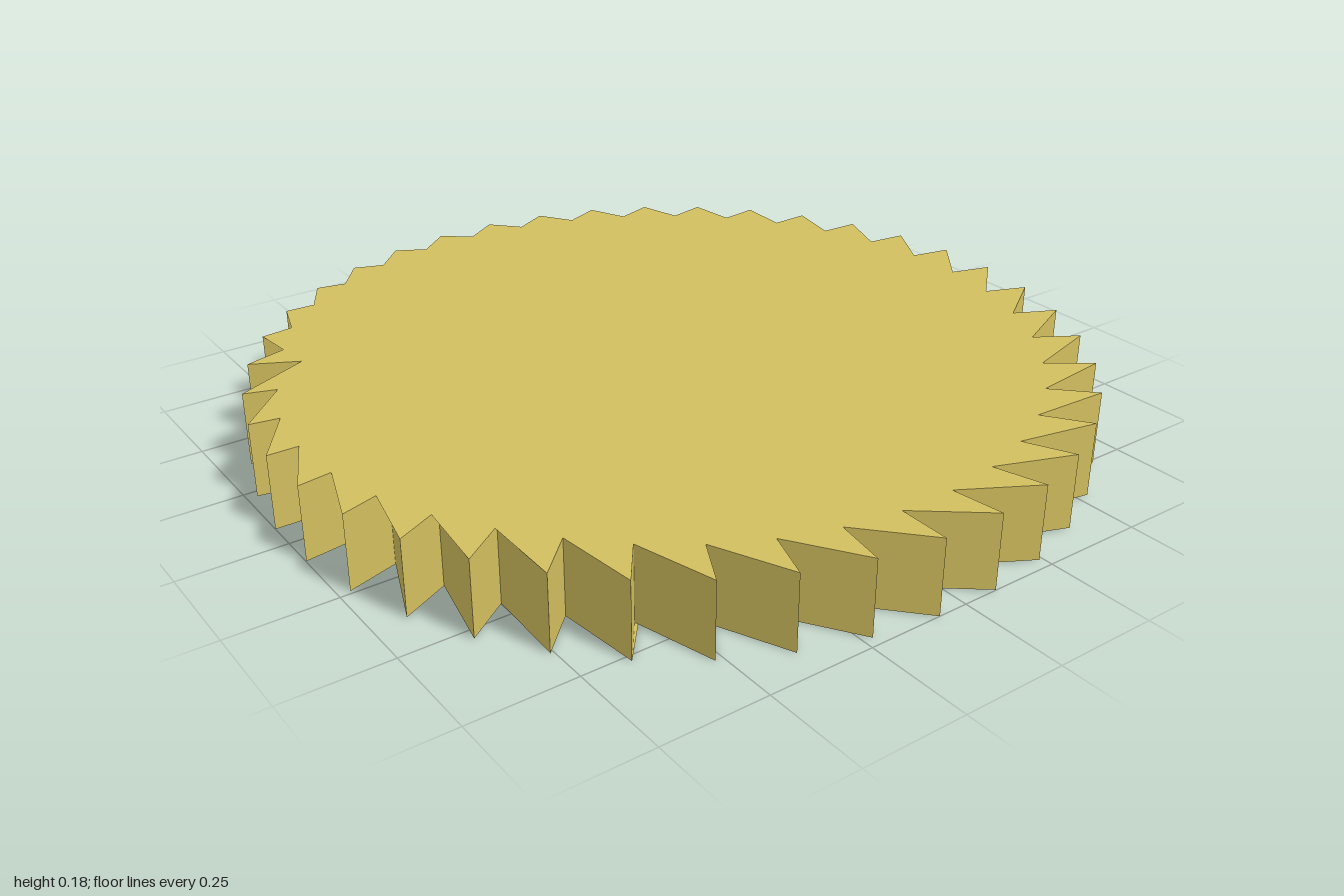
import * as THREE from 'three';

const TEETH = 40;
const HEIGHT = 0.18;
const TIP_RADIUS = 1.0026;
const ROOT_RADIUS = 0.877;
const STEP = 360 / TEETH;

function polar(radius, degrees) {
  const a = THREE.MathUtils.degToRad(degrees);
  return [radius * Math.cos(a), radius * Math.sin(a)];
}

// Saw-tooth outline: each root sits just under the tip that follows it.
// The list begins at the root of the given tooth.
function outline(firstTooth) {
  const points = [];
  for (let i = 0; i < TEETH; i++) {
    const angle = 4.1 + (firstTooth + i) * STEP;
    points.push(polar(ROOT_RADIUS, angle + 0.5), polar(TIP_RADIUS, angle));
  }
  return points;
}

function geometryFrom(positions) {
  const geometry = new THREE.BufferGeometry();
  geometry.setAttribute('position', new THREE.Float32BufferAttribute(positions, 3));
  geometry.computeVertexNormals();
  return geometry;
}

// Flat cap, fanned from the first outline point
function capGeometry(points, y, up) {
  const positions = [];
  const add = ([x, z]) => positions.push(x, y, z);
  for (let i = 1; i < points.length - 1; i++) {
    add(points[0]);
    add(points[up ? i + 1 : i]);
    add(points[up ? i : i + 1]);
  }
  return geometryFrom(positions);
}

// Upright faces around the rim
function rimGeometry(points) {
  const positions = [];
  points.forEach(([px, pz], i) => {
    const [qx, qz] = points[(i + 1) % points.length];
    positions.push(px, 0, pz, px, HEIGHT, pz, qx, HEIGHT, qz);
    positions.push(px, 0, pz, qx, HEIGHT, qz, qx, 0, qz);
  });
  return geometryFrom(positions);
}

export function createModel() {
  const group = new THREE.Group();
  group.name = 'toothedDisc';
  // Double-sided because the thin cap slivers between teeth show from both sides
  const brass = new THREE.MeshStandardMaterial({ color: 0xd2bf5f, side: THREE.DoubleSide });
  brass.name = 'brass';

  const parts = {
    topCap: capGeometry(outline(23), HEIGHT, true),
    bottomCap: capGeometry(outline(34), 0, false),
    toothedRim: rimGeometry(outline(0)),
  };
  for (const [name, geometry] of Object.entries(parts)) {
    const mesh = new THREE.Mesh(geometry, brass);
    mesh.name = name;
    group.add(mesh);
  }
  return group;
}
